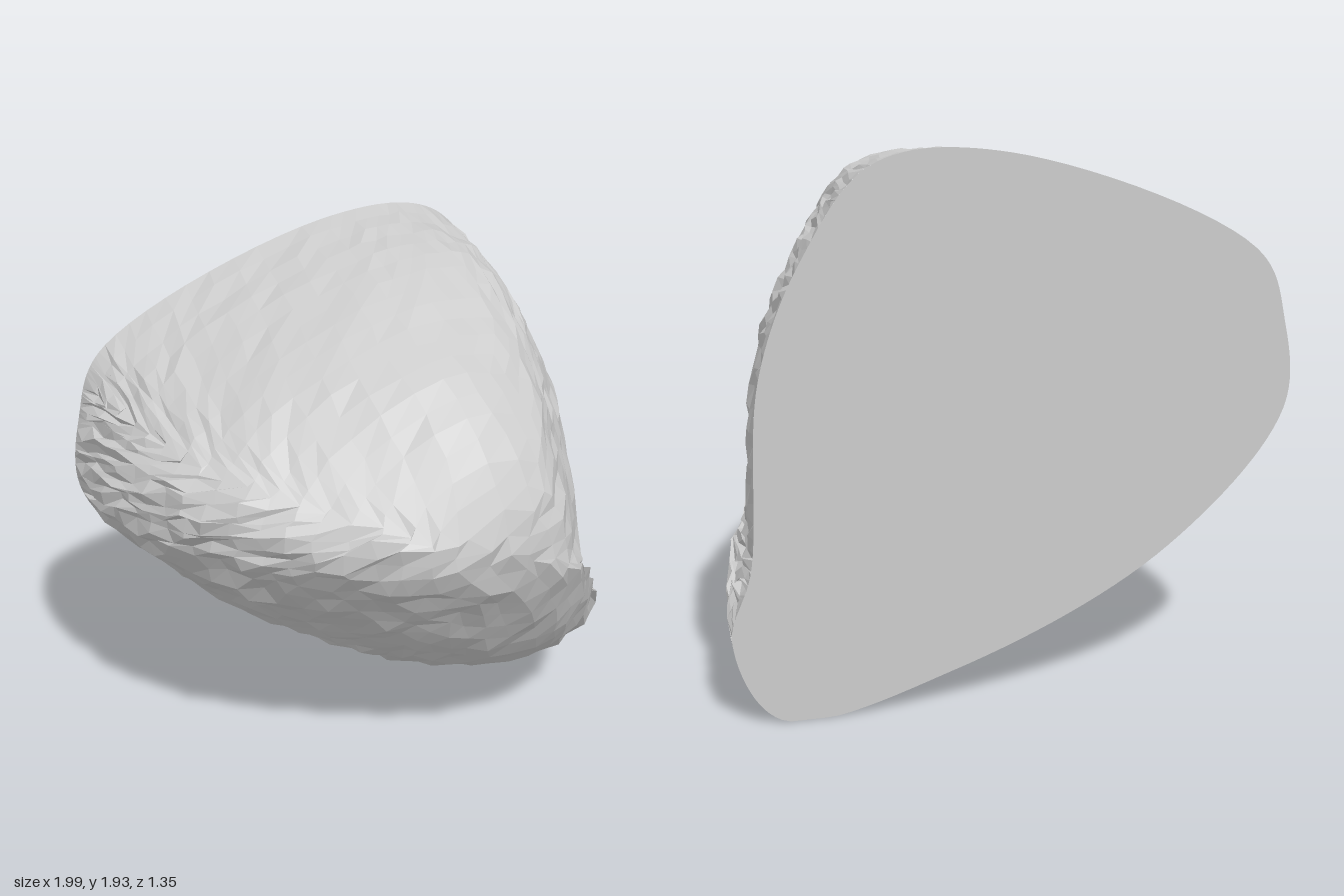
import * as THREE from 'three';

const GRID = 40;
const NOSE = new THREE.Vector3(0.13, 1.1, 0.68);   // foremost point

// Cross-sections from the cut face forward, each clockwise: lip low, lip edge, top left,
// top, ridge, right upper, right middle, right lip, foot corner, bottom, bottom middle, lower left
const SECTIONS = [
  [-0.67, [[-0.98, 0.98], [-0.97, 1.30], [-0.87, 1.54], [0.02, 1.91], [0.48, 1.89], [0.72, 1.59],
    [0.87, 1.20], [0.91, 0.55], [0.98, 0.30], [0.82, 0.01], [0.20, 0.13], [-0.55, 0.50]]],
  [-0.20, [[-0.92, 1.03], [-0.94, 1.28], [-0.72, 1.49], [0.02, 1.83], [0.45, 1.82], [0.65, 1.55],
    [0.80, 1.17], [0.85, 0.57], [0.91, 0.37], [0.72, 0.15], [0.15, 0.23], [-0.49, 0.57]]],
  [0.12, [[-0.78, 1.04], [-0.84, 1.25], [-0.58, 1.45], [0.02, 1.71], [0.42, 1.66], [0.56, 1.42],
    [0.68, 1.08], [0.74, 0.62], [0.82, 0.47], [0.60, 0.30], [0.10, 0.37], [-0.39, 0.66]]],
  [0.36, [[-0.57, 1.04], [-0.61, 1.21], [-0.38, 1.36], [0.06, 1.59], [0.37, 1.52], [0.47, 1.30],
    [0.56, 1.05], [0.60, 0.76], [0.66, 0.66], [0.50, 0.51], [0.12, 0.55], [-0.25, 0.78]]],
  [0.52, [[-0.35, 1.04], [-0.38, 1.19], [-0.20, 1.29], [0.09, 1.45], [0.32, 1.40], [0.40, 1.25],
    [0.46, 1.07], [0.50, 0.90], [0.54, 0.84], [0.40, 0.75], [0.15, 0.76], [-0.12, 0.89]]],
  [0.62, [[-0.15, 1.05], [-0.17, 1.16], [-0.08, 1.21], [0.11, 1.29], [0.26, 1.27], [0.32, 1.20],
    [0.37, 1.08], [0.40, 1.00], [0.41, 0.96], [0.30, 0.92], [0.15, 0.92], [-0.02, 0.97]]],
];
// Chip size along the outline, in the same order
const ROUGH = [0.02, 0.02, 0.008, 0.006, 0.008, 0.012, 0.012, 0.018, 0.02, 0.01, 0.012, 0.014];

const outlines = SECTIONS.map(([z, points]) => new THREE.CatmullRomCurve3(
  points.map(([x, y]) => new THREE.Vector3(x, y, z)), true, 'centripetal'));

// Repeatable noise between -1 and 1
function noise(i, k) {
  const v = Math.sin(i * 127.1 + k * 311.7) * 43758.5453;
  return 2 * (v - Math.floor(v)) - 1;
}

// Fraction of a turn, 0..1, for an angle
const turns = angle => THREE.MathUtils.euclideanModulo(angle / (2 * Math.PI), 1) % 1;

function roughness(t) {
  const n = ROUGH.length, i = Math.floor(t * n);
  return THREE.MathUtils.lerp(ROUGH[i], ROUGH[(i + 1) % n], t * n - i);
}

// Rock surface: a square grid wrapped over rails that run from the nose to the cut face
function rockSurface() {
  const g = new THREE.PlaneGeometry(2, 2, GRID, GRID);
  const pos = g.getAttribute('position');
  for (let i = 0; i < pos.count; i++) {
    const u = pos.getX(i), v = pos.getY(i);
    const m = Math.min(1, Math.max(Math.abs(u), Math.abs(v)));
    const t = turns(-Math.atan2(v, u) + Math.PI);
    const rail = new THREE.CatmullRomCurve3(
      [NOSE, ...outlines.map(o => o.getPoint(t)).reverse()], false, 'centripetal');
    const p = rail.getPointAt(m);
    // chipped facets, none on the cut
    const chip = m > 0.999 ? 0 : roughness(t);
    pos.setXYZ(i,
      p.x + chip * noise(i, 1),
      Math.max(0, p.y + chip * noise(i, 2)),
      p.z + chip * 0.7 * noise(i, 3));
  }
  g.computeVertexNormals();
  return g;
}

// Flat back: a disc whose rim follows the first section, facing backwards
function cutFace() {
  const g = new THREE.CircleGeometry(1, GRID * 4);
  const pos = g.getAttribute('position');
  pos.setXYZ(0, 0.2, 1, SECTIONS[0][0]);
  for (let i = 1; i < pos.count; i++) {
    const p = outlines[0].getPoint(turns(Math.atan2(pos.getY(i), pos.getX(i))));
    pos.setXYZ(i, p.x, Math.max(0, p.y), p.z);
  }
  g.computeVertexNormals();
  return g;
}

export function createModel() {
  const group = new THREE.Group();
  group.name = 'rock';
  const material = new THREE.MeshStandardMaterial({ color: 0xcccccc, flatShading: true });
  const surface = new THREE.Mesh(rockSurface(), material);
  surface.name = 'rockSurface';
  const back = new THREE.Mesh(cutFace(), material);
  back.name = 'flatBack';
  group.add(surface, back);
  return group;
}
